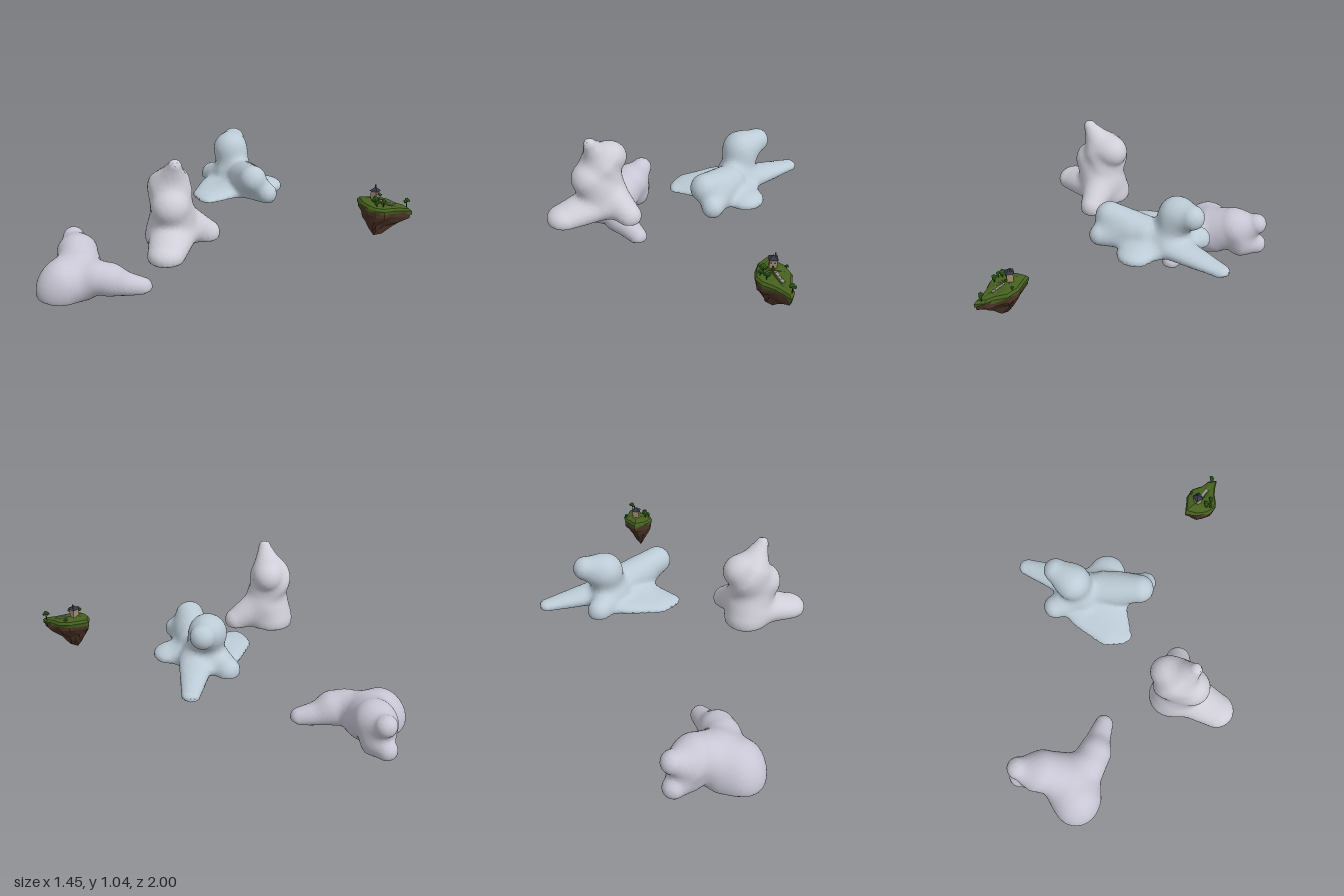
import * as THREE from 'three';
import { toCreasedNormals } from 'three/addons/utils/BufferGeometryUtils.js';

const mat = (color, flatShading = false) => new THREE.MeshStandardMaterial({ color, flatShading });

// Signed distance of a tapered capsule [ax,ay,az,ra, bx,by,bz,rb, squash in y]
function capsule(x, y, z, [ax, ay, az, ra, bx, by, bz, rb, s = 1]) {
  const dx = bx - ax, dy = by - ay, dz = bz - az;
  const len = dx * dx + dy * dy + dz * dz;
  const dot = (x - ax) * dx + (y - ay) * dy + (z - az) * dz;
  const t = len ? Math.min(1, Math.max(0, dot / len)) : 0;
  return Math.hypot(x - ax - t * dx, (y - ay - t * dy) * s, z - az - t * dz) - ra - t * (rb - ra);
}

// Cloud: melted capsules cut by a floor surface, meshed with surface nets
function cloud(name, color, lobes, floor) {
  const k = 0.05, h = 0.015;
  const field = (x, y, z) => {
    let d = 10;
    for (const l of lobes) {
      const c = capsule(x, y, z, l);
      const m = Math.max(k - Math.abs(d - c), 0) / k;
      d = Math.min(d, c) - m * m * k * 0.25;
    }
    return Math.max(d, floor(x, z) - y);
  };
  const box = new THREE.Box3();
  for (const l of lobes) for (const o of [0, 4]) {
    const c = new THREE.Vector3(l[o], l[o + 1], l[o + 2]), r = l[o + 3] + 0.05;
    box.expandByPoint(c.clone().addScalar(r)).expandByPoint(c.clone().addScalar(-r));
  }
  const lo = box.min, n = box.max.clone().sub(lo).toArray().map(v => Math.ceil(v / h) + 1);
  const step = [1, n[0], n[0] * n[1]];
  const values = new Float32Array(n[0] * n[1] * n[2]);
  const each = f => {
    for (let z = 0; z < n[2]; z++) for (let y = 0; y < n[1]; y++) for (let x = 0; x < n[0]; x++) {
      f(x, y, z, x + y * step[1] + z * step[2]);
    }
  };
  each((x, y, z, i) => { values[i] = field(lo.x + x * h, lo.y + y * h, lo.z + z * h); });

  // One vertex per crossed cell, at the mean of its edge crossings
  const vertex = new Int32Array(values.length).fill(-1), pos = [], index = [];
  each((x, y, z, i) => {
    if (x > n[0] - 2 || y > n[1] - 2 || z > n[2] - 2) return;
    const sum = [0, 0, 0];
    let count = 0;
    for (let c = 0; c < 8; c++) for (let a = 0; a < 3; a++) {
      if (c >> a & 1) continue;
      const p = [c & 1, c >> 1 & 1, c >> 2 & 1];
      const j = i + p[0] + p[1] * step[1] + p[2] * step[2];
      const u = values[j], v = values[j + step[a]];
      if (u < 0 === v < 0) continue;
      p[a] = u / (u - v);
      p.forEach((q, b) => { sum[b] += q; });
      count++;
    }
    if (!count) return;
    vertex[i] = pos.length / 3;
    pos.push(lo.x + (x + sum[0] / count) * h, lo.y + (y + sum[1] / count) * h, lo.z + (z + sum[2] / count) * h);
  });
  // One quad per crossed grid edge
  each((x, y, z, i) => {
    if (!x || !y || !z || x > n[0] - 2 || y > n[1] - 2 || z > n[2] - 2) return;
    for (let a = 0; a < 3; a++) {
      const inside = values[i] < 0;
      if (inside === values[i + step[a]] < 0) continue;
      const b = step[(a + 1) % 3], c = step[(a + 2) % 3];
      const q = [i, i - b, i - b - c, i - c].map(j => vertex[j]);
      if (!inside) q.reverse();
      index.push(q[0], q[1], q[2], q[0], q[2], q[3]);
    }
  });
  const geo = new THREE.BufferGeometry();
  geo.setAttribute('position', new THREE.Float32BufferAttribute(pos, 3));
  geo.setIndex(index);
  const mesh = new THREE.Mesh(toCreasedNormals(geo, 0.8), mat(color));
  mesh.name = name;
  return mesh;
}

// Skin over rings of points, listed from top to bottom
function skin(rings) {
  const n = rings[0].length, index = [];
  for (let r = 0; r < rings.length - 1; r++) for (let i = 0; i < n; i++) {
    const a = r * n + i, b = r * n + (i + 1) % n;
    index.push(a, a + n, b, b, a + n, b + n);
  }
  const geo = new THREE.BufferGeometry();
  geo.setAttribute('position', new THREE.Float32BufferAttribute(rings.flat(2), 3));
  geo.setIndex(index);
  geo.computeVertexNormals();
  return geo;
}

function island() {
  const g = new THREE.Group();
  g.name = 'floatingIsland';
  const add = (name, geo, color, x = 0, y = 0, z = 0, parent = g) => {
    const m = new THREE.Mesh(geo, mat(color, true));
    m.name = name;
    m.position.set(x, y, z);
    parent.add(m);
    return m;
  };
  // Outline in x and z, counterclockwise as seen from above
  const outline = [[0.48, 0.7], [0.43, 0.75], [0.41, 0.81], [0.41, 0.86], [0.44, 0.9], [0.5, 0.93], [0.54, 0.96],
    [0.58, 1.0], [0.6, 0.95], [0.59, 0.9], [0.6, 0.83], [0.57, 0.77], [0.53, 0.74]];
  const ground = z => 0.69 - 0.12 * (z - 0.72);
  const ring = (s, drop, cx, cz, rough) => outline.map(([x, z], i) => {
    const w = s * (1 + rough * Math.sin(i * 2.7 + drop * 60));
    return [cx + (x - cx) * w, ground(z) - drop + rough * 0.06 * Math.sin(i * 4.1), cz + (z - cz) * w];
  });
  const tip = outline.map(() => [0.48, 0.48, 0.82]);
  add('grass', skin([ring(0, -0.012, 0.5, 0.83, 0), ring(0.55, -0.008, 0.5, 0.83, 0.05),
    ring(0.9, 0.0, 0.5, 0.83, 0), ring(1, 0.015, 0.5, 0.83, 0), ring(0.95, 0.035, 0.5, 0.83, 0.06)]), 0x46601f);
  add('rock', skin([ring(0.96, 0.02, 0.5, 0.83, 0), ring(0.95, 0.055, 0.49, 0.83, 0.05), ring(0.75, 0.085, 0.47, 0.81, 0.1),
    ring(0.48, 0.115, 0.47, 0.8, 0.12), ring(0.27, 0.16, 0.48, 0.81, 0.15), tip]), 0x4b3325);

  // House
  const house = new THREE.Group();
  house.name = 'house';
  house.position.set(0.5, 0.685, 0.8);
  g.add(house);
  add('walls', new THREE.BoxGeometry(0.04, 0.06, 0.034), 0x9c8d70, 0, 0.03, 0, house);
  const roof = add('roof', new THREE.ConeGeometry(0.034, 0.022, 4), 0x363a46, 0, 0.071, 0, house);
  roof.rotation.y = Math.PI / 4;
  add('chimney', new THREE.BoxGeometry(0.006, 0.03, 0.006), 0x4a4a50, 0.011, 0.075, -0.005, house);
  add('door', new THREE.BoxGeometry(0.01, 0.02, 0.003), 0x40301f, 0, 0.014, 0.017, house);
  for (const x of [-0.01, 0.01]) add('window', new THREE.BoxGeometry(0.007, 0.009, 0.003), 0x3a3f48, x, 0.043, 0.017, house);

  // Path
  const stones = [[0.508, 0.828], [0.52, 0.85], [0.53, 0.87], [0.54, 0.89]];
  stones.forEach(([x, z], i) => {
    const p = add('path', new THREE.BoxGeometry(0.014, 0.006, 0.026), 0x9a968c, x, ground(z) + 0.009 - i * 0.002, z);
    p.rotation.set(0.12, 0.5, 0);
  });

  // Trees
  for (const [x, z, s] of [[0.45, 0.83, 1], [0.465, 0.875, 0.85], [0.435, 0.85, 0.7], [0.585, 0.96, 0.9], [0.57, 0.8, 0.5]]) {
    const tree = new THREE.Group();
    tree.name = 'tree';
    tree.position.set(x, ground(z) - 0.004, z);
    tree.scale.setScalar(s);
    g.add(tree);
    add('trunk', new THREE.CylinderGeometry(0.003, 0.004, 0.04, 5), 0x4a3420, 0, 0.02, 0, tree);
    for (const [a, b, c, r] of [[0, 0.046, 0, 0.016], [0.013, 0.04, 0.004, 0.011], [-0.011, 0.038, -0.006, 0.012]]) {
      add('leaves', new THREE.IcosahedronGeometry(r, 0), 0x3c7a24, a, b, c, tree);
    }
  }
  return g;
}

export function createModel() {
  const model = new THREE.Group();
  model.name = 'cloudsAndIsland';

  // Tall cloud: two feet, waist, front bulge, head and horn
  model.add(cloud('tallCloud', 0xcfced8, [
    [-0.63, 0.575, 0.2, 0.1, -0.46, 0.61, 0.1, 0.13, 1.4],
    [-0.26, 0.58, 0.18, 0.07, -0.39, 0.67, 0.08, 0.11],
    [-0.42, 0.58, 0.03, 0.125, -0.42, 0.75, 0.06, 0.105],
    [-0.485, 0.78, 0.11, 0.105, -0.46, 0.72, 0.1, 0.105],
    [-0.4, 0.85, 0.03, 0.12, -0.365, 0.875, 0.02, 0.088],
    [-0.43, 0.89, 0.07, 0.1, -0.47, 1.01, 0.13, 0.037],
  ], () => 0.54));

  // Spread cloud: thin wings with a front lobe and a raised head
  model.add(cloud('spreadCloud', 0xbccbd6, [
    [0.025, 0.64, -0.03, 0.062, 0.3, 0.66, -0.01, 0.15, 2.5],
    [0.08, 0.64, -0.09, 0.085, 0.24, 0.65, -0.15, 0.09, 2.5],
    [0.675, 0.65, -0.285, 0.05, 0.42, 0.68, -0.1, 0.1, 1.6],
    [0.4, 0.65, 0.1, 0.105, 0.34, 0.66, 0.02, 0.13, 2],
    [0.165, 0.77, 0.18, 0.08, 0.3, 0.71, 0.02, 0.1],
    [0.21, 0.685, 0.25, 0.06, 0.25, 0.69, 0.1, 0.09],
    [0.365, 0.66, -0.27, 0.068, 0.34, 0.68, -0.12, 0.1],
    [0.37, 0.72, -0.1, 0.095, 0.375, 0.845, -0.14, 0.09],
    [0.375, 0.845, -0.14, 0.092, 0.47, 0.875, -0.19, 0.068],
  ], () => 0.635));

  // Low cloud: broad body, back hump and a tapering front foot
  model.add(cloud('lowCloud', 0xc8c6d4, [
    [-0.55, 0.115, -0.7, 0.15, -0.47, 0.12, -0.64, 0.135],
    [-0.59, 0.06, -0.73, 0.125, -0.5, 0.06, -0.73, 0.125],
    [-0.42, 0.15, -0.71, 0.15, -0.34, 0.21, -0.79, 0.122],
    [-0.31, 0.2, -0.85, 0.113, -0.255, 0.255, -0.92, 0.068],
    [-0.3, 0.1, -0.85, 0.1, -0.265, 0.09, -0.935, 0.065],
    [-0.43, 0.155, -0.53, 0.1, -0.39, 0.15, -0.47, 0.09],
    [-0.38, 0.12, -0.48, 0.09, -0.25, 0.08, -0.33, 0.058],
  ], (x, z) => 0.002 + 0.3 * ((x + 0.45) ** 2 + (z + 0.65) ** 2)));

  model.add(island());
  return model;
}
